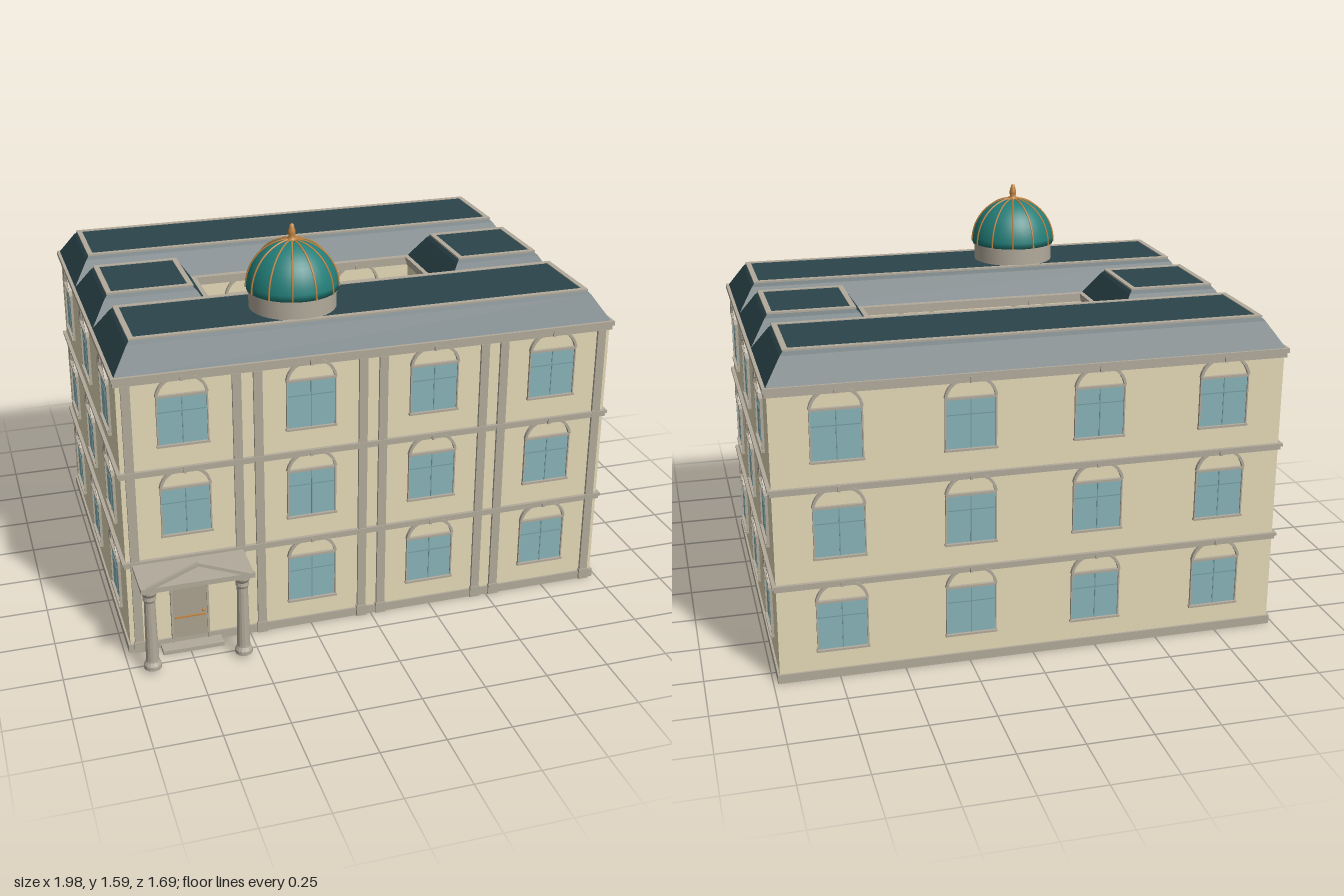
import * as THREE from 'three';
import { mergeVertices } from 'three/addons/utils/BufferGeometryUtils.js';

const mat = (name, color) => {
  const m = new THREE.MeshStandardMaterial({ color });
  m.name = name;
  return m;
};

export function createModel() {
  const plaster = mat('plaster', 0xe4d9b7), stone = mat('stone', 0xb2aa9b);
  const slate = mat('slate', 0x2a444a), teal = mat('domeTeal', 0x227e79);
  const gold = mat('gold', 0xc08440), glass = mat('glass', 0x87b3b8);
  const bar = mat('glazingBar', 0x749ca1), wood = mat('doorWood', 0xaaa18f);

  const root = new THREE.Group();
  root.name = 'courtyardBuilding';
  const add = (parent, name, geo, material, x = 0, y = 0, z = 0) => {
    const m = new THREE.Mesh(geo, material);
    m.name = name;
    m.position.set(x, y, z);
    parent.add(m);
    return m;
  };
  const box = (parent, name, material, w, h, d, x, y, z) =>
    add(parent, name, new THREE.BoxGeometry(w, h, d), material, x, y, z);

  const X = 0.975, ZF = 0.64, ZB = -0.83, CX = 0.485, CF = 0.13, CB = -0.33, ZM = -0.095;

  // Rectangular ring lying flat; outer and inner are [x0, z0, x1, z1]
  const rect = (C, [x0, z0, x1, z1]) => {
    const s = new C();
    s.moveTo(x0, -z1); s.lineTo(x1, -z1); s.lineTo(x1, -z0); s.lineTo(x0, -z0); s.closePath();
    return s;
  };
  const ring = (outer, inner, h) => {
    const s = rect(THREE.Shape, outer);
    s.holes.push(rect(THREE.Path, inner));
    return new THREE.ExtrudeGeometry(s, { depth: h, bevelEnabled: false }).rotateX(-Math.PI / 2);
  };
  const floorRing = (out, h) => ring([-X - out, ZB - out, X + out, ZF + out],
    [-CX + out, CB + out, CX - out, CF - out], h);

  // Walls, plinth, string courses and cornice
  add(root, 'walls', floorRing(0, 1.145), plaster, 0, 0.002, 0);
  add(root, 'plinth', floorRing(0.008, 0.035), stone);
  for (const y of [0.372, 0.747]) {
    add(root, 'stringCourseLower', floorRing(0.008, 0.014), stone, 0, y, 0);
    add(root, 'stringCourseUpper', floorRing(0.014, 0.012), stone, 0, y + 0.014, 0);
  }
  add(root, 'corniceLower', floorRing(0.009, 0.018), stone, 0, 1.12, 0);
  add(root, 'corniceUpper', floorRing(0.015, 0.018), stone, 0, 1.138, 0);

  // Mansard roofs: boxes whose upper levels are drawn inwards
  const mansard = (name, x0, z0, x1, z1) => {
    const w = x1 - x0, d = z1 - z0, h = 0.114;
    const geo = new THREE.BoxGeometry(w, h, d, 1, 2, 1);
    const p = geo.attributes.position;
    for (let i = 0; i < p.count; i++) {
      const level = Math.round(p.getY(i) / h * 2) + 1;
      const inset = [0, 0.064, 0.08][level];
      p.setXYZ(i, Math.sign(p.getX(i)) * (w / 2 - inset), [0, 0.097, h][level],
        Math.sign(p.getZ(i)) * (d / 2 - inset));
    }
    const flat = geo.toNonIndexed();
    flat.computeVertexNormals();
    add(root, name, flat, slate, (x0 + x1) / 2, 1.152, (z0 + z1) / 2);
    const a = 0.074, b = 0.095;
    add(root, name + 'Trim', ring([x0 + a, z0 + a, x1 - a, z1 - a],
      [x0 + b, z0 + b, x1 - b, z1 - b], 0.007), stone, 0, 1.262, 0);
  };
  mansard('frontRoof', -0.98, 0.14, 0.98, 0.645);
  mansard('backRoof', -0.98, -0.838, 0.98, -0.34);
  mansard('rightRoof', -0.98, -0.345, -0.487, 0.148);
  mansard('leftRoof', 0.487, -0.345, 0.98, 0.148);

  // Window parts, shared by every opening; local +z points out of the wall
  const arch = new THREE.Shape();
  arch.moveTo(-0.1, 0);
  arch.bezierCurveTo(-0.092, 0.045, -0.06, 0.078, 0, 0.078);
  arch.bezierCurveTo(0.06, 0.078, 0.092, 0.045, 0.1, 0);
  arch.lineTo(0.09, 0);
  arch.bezierCurveTo(0.082, 0.038, 0.052, 0.068, 0, 0.068);
  arch.bezierCurveTo(-0.052, 0.068, -0.082, 0.038, -0.09, 0);
  arch.closePath();
  const archGeo = new THREE.ExtrudeGeometry(arch, { depth: 0.014, bevelEnabled: false, curveSegments: 6 });
  const makeWindow = (x, y, z, ry) => {
    const g = new THREE.Group();
    g.name = 'window';
    g.position.set(x, y, z);
    g.rotation.y = ry;
    root.add(g);
    box(g, 'pane', glass, 0.184, 0.19, 0.006, 0, 0, 0.001);
    box(g, 'mullion', bar, 0.004, 0.19, 0.004, 0, 0, 0.004);
    box(g, 'transom', bar, 0.18, 0.004, 0.004, 0, 0.035, 0.004);
    for (const s of [-1, 1]) box(g, 'jamb', stone, 0.005, 0.2, 0.011, s * 0.0945, 0, 0.005);
    box(g, 'lintel', stone, 0.194, 0.009, 0.014, 0, 0.099, 0.006);
    box(g, 'sill', stone, 0.2, 0.008, 0.016, 0, -0.099, 0.007);
    add(g, 'arch', archGeo, stone, 0, 0.103, 0);
    box(g, 'keystone', stone, 0.01, 0.022, 0.018, 0, 0.168, 0.008);
  };
  const cols = [-0.735, -0.245, 0.245, 0.735], rows = [0.395, ZM, -0.585];
  for (let f = 0; f < 3; f++) {
    const y = 0.216 + f * 0.374;
    cols.forEach((x, i) => {
      if (f || i) makeWindow(x, y, ZF, 0);
      makeWindow(x, y, ZB, Math.PI);
    });
    for (const z of rows) {
      makeWindow(X, y, z, Math.PI / 2);
      makeWindow(-X, y, z, -Math.PI / 2);
    }
    for (const x of [-0.245, 0.245]) {
      makeWindow(x, y, CB, 0);
      makeWindow(x, y, CF, Math.PI);
    }
    makeWindow(-CX, y, ZM, Math.PI / 2);
    makeWindow(CX, y, ZM, -Math.PI / 2);
  }

  // Front pilasters
  for (const x of [-0.94, -0.53, -0.45, -0.04, 0.04, 0.45, 0.53, 0.94]) {
    box(root, 'pilaster', stone, 0.034, 1.12, 0.012, x, 0.56, ZF + 0.005);
    box(root, 'pilasterBase', stone, 0.042, 0.045, 0.018, x, 0.0225, ZF + 0.007);
  }

  // Door
  const px = -0.738;
  box(root, 'door', wood, 0.138, 0.265, 0.008, px, 0.15, ZF + 0.004);
  for (const s of [-1, 1]) box(root, 'doorJamb', stone, 0.008, 0.27, 0.016, px + s * 0.071, 0.15, ZF + 0.006);
  box(root, 'doorLintel', stone, 0.15, 0.008, 0.016, px, 0.286, ZF + 0.006);
  box(root, 'doorRail', gold, 0.12, 0.006, 0.006, px, 0.125, ZF + 0.01);
  add(root, 'doorKnob', new THREE.SphereGeometry(0.006, 8, 6), gold, px + 0.052, 0.145, ZF + 0.012);
  box(root, 'doorStep', stone, 0.24, 0.016, 0.065, px, 0.008, 0.67);

  // Porch slab, columns and open pediment
  box(root, 'porchSlab', stone, 0.43, 0.014, 0.205, px, 0.38, 0.742);
  box(root, 'porchCornice', stone, 0.43, 0.008, 0.014, px, 0.391, 0.84);
  const pediment = new THREE.Shape([[-0.215, 0], [0.215, 0], [0, 0.085]].map(p => new THREE.Vector2(...p)));
  pediment.holes.push(new THREE.Path([[-0.16, 0.008], [0, 0.071], [0.16, 0.008]].map(p => new THREE.Vector2(...p))));
  add(root, 'pediment', new THREE.ExtrudeGeometry(pediment, { depth: 0.014, bevelEnabled: false }), stone, px, 0.388, 0.834);
  const shaft = [[0, 0], [0.034, 0], [0.034, 0.016], [0.026, 0.03], [0.025, 0.04], [0.021, 0.29],
    [0.026, 0.3], [0.024, 0.315], [0.033, 0.33], [0.033, 0.342], [0, 0.342]].map(p => new THREE.Vector2(...p));
  for (const s of [-1, 1]) {
    const col = new THREE.LatheGeometry(shaft, 14).toNonIndexed();
    col.computeVertexNormals();
    add(root, 'porchColumn', col, stone, px + s * 0.177, 0.018, 0.788);
    box(root, 'columnCap', stone, 0.066, 0.016, 0.066, px + s * 0.177, 0.366, 0.788);
  }

  // Dome with drum, ribs and finial
  const dome = new THREE.Group();
  dome.name = 'dome';
  dome.position.set(-0.245, 1.264, 0.393);
  root.add(dome);
  add(dome, 'drum', new THREE.CylinderGeometry(0.168, 0.168, 0.075, 32), stone, 0, 0.0375, 0);
  add(dome, 'drumRing', new THREE.CylinderGeometry(0.173, 0.173, 0.008, 32), stone, 0, 0.07, 0);
  const R = 0.176, H = 0.188, y0 = 0.075;
  const curve = (t, k = 0) => [(R + k) * Math.cos(t), y0 + (H + k) * Math.sin(t)];
  const profile = [new THREE.Vector2(0.001, y0)];
  for (let i = 0; i <= 12; i++) {
    const [r, y] = curve(i / 12 * Math.PI / 2);
    profile.push(new THREE.Vector2(Math.max(r, 0.0005), y));
  }
  add(dome, 'domeShell', mergeVertices(new THREE.LatheGeometry(profile, 36)), teal);
  for (let k = 0; k < 12; k++) {
    const pts = [];
    for (let i = 0; i <= 8; i++) {
      const [r, y] = curve(i / 8 * 1.5, 0.001);
      pts.push(new THREE.Vector3(r, y, 0));
    }
    const rib = add(dome, 'domeRib', new THREE.TubeGeometry(new THREE.CatmullRomCurve3(pts), 14, 0.004, 5), gold);
    rib.rotation.y = (k + 0.5) * Math.PI / 6;
  }
  const tip = [[0.022, 0], [0.018, 0.008], [0.012, 0.014], [0.015, 0.026], [0.014, 0.038], [0.01, 0.05],
    [0.008, 0.06], [0, 0.066]].map(p => new THREE.Vector2(...p));
  add(dome, 'finial', new THREE.LatheGeometry(tip, 12), gold, 0, 0.26, 0);

  return root;
}
